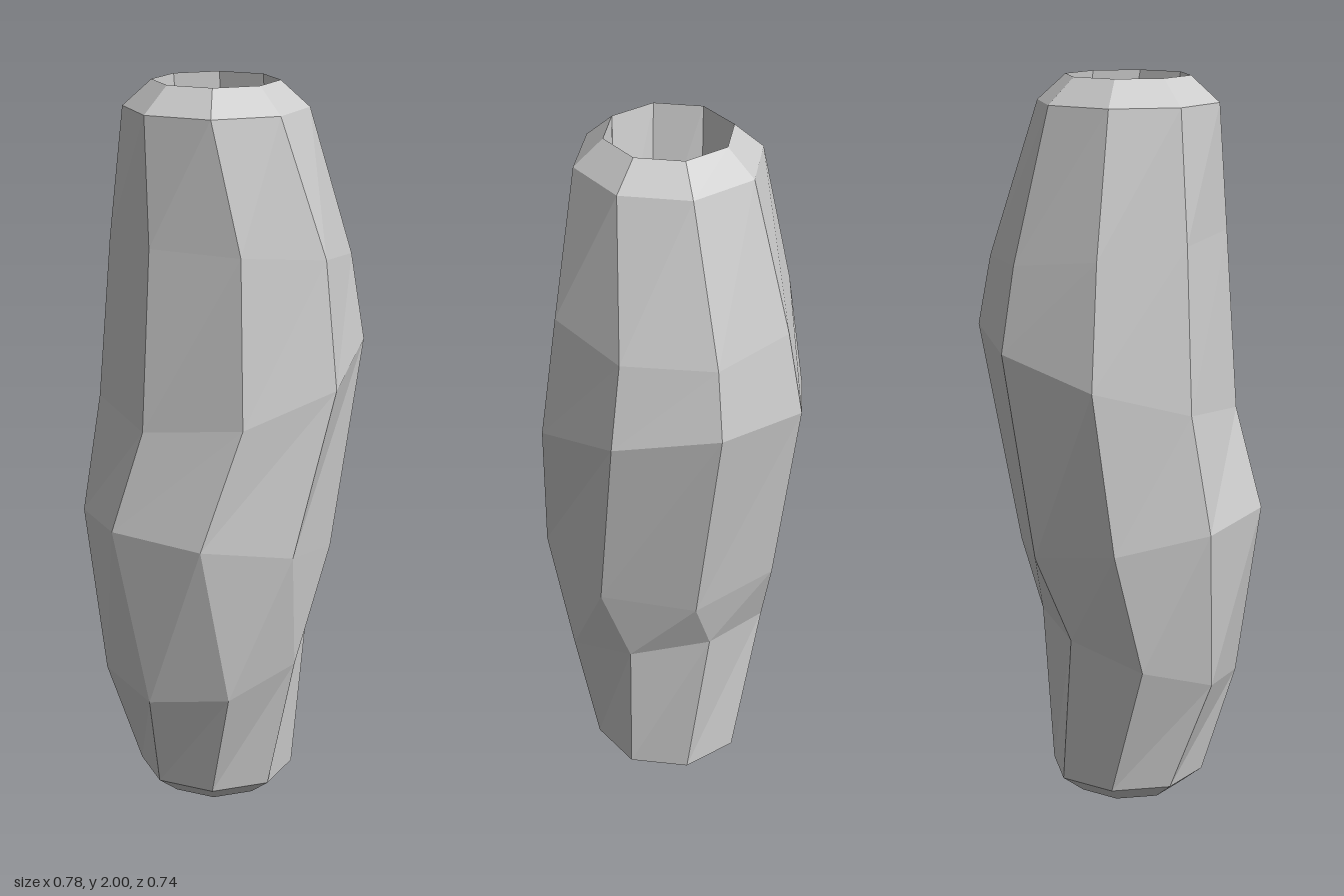
import * as THREE from 'three';

const SIDES = 8;

// Tilted cross-sections from bottom to top: centre, and the radius vectors toward +x (u) and the front (v)
const sections = [
  { c: [-0.055, 0.427, 0], u: [0.265, 0.093, -0.06], v: [0.065, 0, 0.288] },
  { c: [-0.055, 0.765, 0], u: [0.34, -0.065, 0], v: [0, 0, 0.345] },
  { c: [0.037, 1.21, 0], u: [0.353, 0.11, -0.038], v: [0.038, 0, 0.37] },
  { c: [0.035, 1.55, 0], u: [0.32, -0.04, -0.035], v: [0.04, 0.004, 0.325] },
];

// One eight-sided ring of points, scaled by k about its centre
function ring({ c, u, v }, k = 1) {
  return Array.from({ length: SIDES }, (_, j) => {
    const a = (j / SIDES) * Math.PI * 2;
    return c.map((m, i) => m + k * (u[i] * Math.cos(a) + v[i] * Math.sin(a)));
  });
}

// Level ring for the two ends
const level = (y, r) => ring({ c: [-0.02, y, 0], u: [r, 0, 0], v: [0, 0, r] });

// Join consecutive rings with quads
function skin(rings) {
  const pos = [];
  for (let i = 0; i < rings.length - 1; i++) {
    for (let j = 0; j < SIDES; j++) {
      const n = (j + 1) % SIDES;
      const a = rings[i][j], b = rings[i + 1][j], c = rings[i + 1][n], d = rings[i][n];
      pos.push(...a, ...b, ...d, ...b, ...c, ...d);
    }
  }
  const geo = new THREE.BufferGeometry();
  geo.setAttribute('position', new THREE.Float32BufferAttribute(pos, 3));
  geo.computeVertexNormals();
  return geo;
}

export function createModel() {
  const group = new THREE.Group();
  group.name = 'bentTube';
  const material = new THREE.MeshStandardMaterial({ color: 0xcccccc, flatShading: true });
  const add = (name, rings) => {
    const mesh = new THREE.Mesh(skin(rings), material);
    mesh.name = name;
    group.add(mesh);
  };

  const bottomEdge = level(0.05, 0.215), bottomRim = level(0, 0.15);
  const topEdge = level(1.93, 0.248), topRim = level(2, 0.17);

  // Outer wall, bevelled ends, and the bore running back down
  add('outerWall', [bottomEdge, ...sections.map((s) => ring(s)), topEdge]);
  add('topBevel', [topEdge, topRim]);
  add('bottomBevel', [bottomRim, bottomEdge]);
  add('innerBore', [topRim, ...sections.map((s) => ring(s, 0.51)).reverse(), bottomRim]);
  return group;
}
